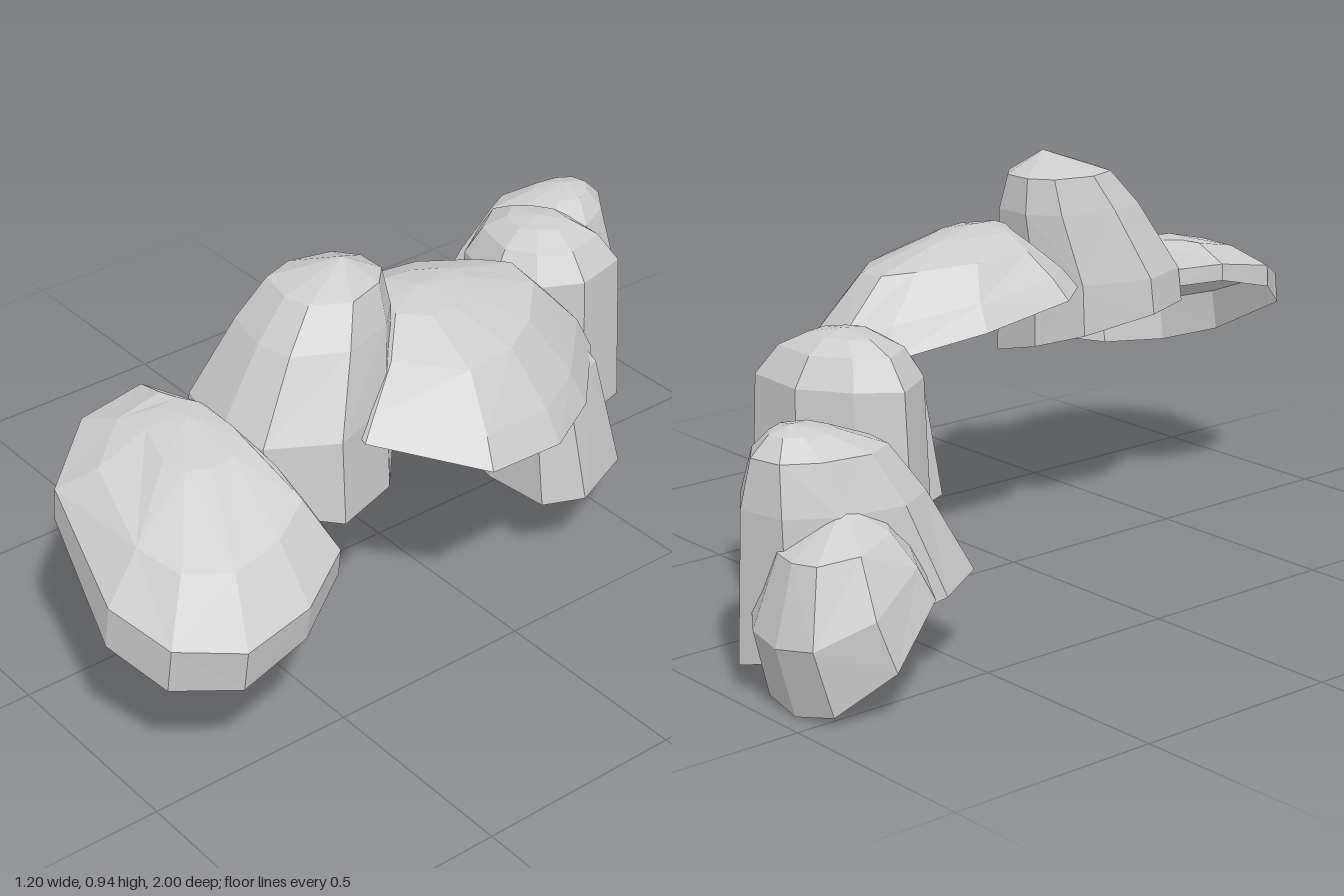
import * as THREE from 'three';

const stone = new THREE.MeshStandardMaterial({ color: 0xcccccc, flatShading: true, side: THREE.DoubleSide });
stone.name = 'grey stone';

// Open-bottomed faceted rock, lofted from its base outline up to an apex.
// outline: [x, z] corners of the base, running from +x towards +z
// rings: [centreX, y, centreZ, scaleX, scaleZ, slopeX, slopeZ], the first is the base
function rock(name, outline, rings, apex) {
  const sides = outline.length;
  const [baseX, , baseZ] = rings[0];
  const positions = [];
  const index = [];
  for (const [cx, y, cz, scaleX, scaleZ, slopeX = 0, slopeZ = 0] of rings) {
    for (const [x, z] of outline) {
      const dx = (x - baseX) * scaleX;
      const dz = (z - baseZ) * scaleZ;
      positions.push(cx + dx, y + slopeX * dx + slopeZ * dz, cz + dz);
    }
  }
  positions.push(...apex);
  const tip = rings.length * sides;
  for (let i = 0; i < rings.length; i++) {
    for (let j = 0; j < sides; j++) {
      const a = i * sides + j;
      const b = i * sides + ((j + 1) % sides);
      if (i === rings.length - 1) index.push(a, tip, b);
      else if ((i + j) % 2) index.push(a, a + sides, b, b, a + sides, b + sides);
      else index.push(a, a + sides, b + sides, a, b + sides, b);
    }
  }
  const indexed = new THREE.BufferGeometry();
  indexed.setAttribute('position', new THREE.Float32BufferAttribute(positions, 3));
  indexed.setIndex(index);
  const geometry = indexed.toNonIndexed();
  geometry.computeVertexNormals();
  const mesh = new THREE.Mesh(geometry, stone);
  mesh.name = name;
  return mesh;
}

export function createModel() {
  const group = new THREE.Group();
  group.name = 'rockArch';

  // Tilted slab at the front end
  group.add(rock('frontSlab',
    [[0.58, 0.82], [0.49, 0.95], [0.34, 1.0], [0.05, 0.93], [-0.06, 0.78],
      [-0.06, 0.62], [0.05, 0.54], [0.36, 0.5], [0.5, 0.51], [0.57, 0.65]],
    [
      [0.27, 0.43, 0.75, 1, 1, -0.42, -0.25],
      [0.28, 0.505, 0.75, 1.02, 0.98, -0.34, -0.17],
      [0.28, 0.59, 0.73, 0.72, 0.7, -0.28, -0.2],
      [0.2, 0.655, 0.67, 0.35, 0.35, -0.15, -0.1],
    ], [0.16, 0.678, 0.65]));

  // Tall peak
  group.add(rock('peakRock',
    [[0.41, 0.42], [0.32, 0.57], [0.2, 0.6], [0.02, 0.56], [-0.03, 0.42],
      [0.02, 0.24], [0.12, 0.17], [0.26, 0.17], [0.35, 0.25]],
    [
      [0.2, 0.48, 0.38, 1, 1, -0.25, 0.12],
      [0.195, 0.63, 0.375, 0.95, 0.98],
      [0.185, 0.8, 0.31, 0.69, 0.77],
      [0.175, 0.885, 0.275, 0.52, 0.56],
    ], [0.185, 0.937, 0.25]));

  // Broad slab bridging the middle
  group.add(rock('middleSlab',
    [[0.57, 0.14], [0.39, 0.35], [0.2, 0.31], [0.0, 0.2], [-0.08, 0.1], [-0.06, -0.13],
      [0.04, -0.34], [0.12, -0.44], [0.26, -0.43], [0.44, -0.25], [0.54, -0.08]],
    [
      [0.25, 0.557, -0.04, 1, 1, -0.17, 0.17],
      [0.245, 0.62, -0.04, 0.87, 0.89, -0.17, 0.13],
      [0.22, 0.715, -0.03, 0.62, 0.62, -0.12, 0.04],
      [0.19, 0.77, 0.02, 0.28, 0.3, -0.06, 0.04],
    ], [0.18, 0.787, 0.03]));

  // Tapered support under the middle slab
  group.add(rock('supportRock',
    [[0.4, -0.3], [0.36, -0.2], [0.2, -0.175], [0.02, -0.2],
      [-0.05, -0.34], [0.03, -0.47], [0.2, -0.51], [0.33, -0.47]],
    [
      [0.175, 0.197, -0.34, 1, 1, -0.05, 0],
      [0.2, 0.48, -0.305, 0.68, 0.76],
      [0.19, 0.56, -0.3, 0.45, 0.45],
    ], [0.18, 0.6, -0.29]));

  // Rounded upright behind it
  group.add(rock('uprightRock',
    [[0.14, -0.53], [0.08, -0.42], [-0.02, -0.36], [-0.19, -0.4],
      [-0.275, -0.52], [-0.2, -0.61], [-0.08, -0.69], [0.1, -0.68]],
    [
      [-0.07, 0.197, -0.53, 1, 1, -0.09, 0],
      [-0.06, 0.565, -0.525, 0.9, 0.95],
      [-0.06, 0.632, -0.525, 0.68, 0.7],
      [-0.06, 0.664, -0.53, 0.38, 0.38],
    ], [-0.05, 0.674, -0.53]));

  // Leaning dome near the back
  group.add(rock('leaningRock',
    [[-0.03, -0.7], [-0.1, -0.51], [-0.28, -0.45], [-0.42, -0.47], [-0.49, -0.6],
      [-0.46, -0.8], [-0.38, -0.93], [-0.24, -0.96], [-0.12, -0.87]],
    [
      [-0.26, 0.115, -0.71, 1, 1, -0.22, 0.22],
      [-0.27, 0.4, -0.765, 0.81, 0.76],
      [-0.28, 0.51, -0.795, 0.56, 0.57],
      [-0.28, 0.552, -0.825, 0.28, 0.28],
    ], [-0.28, 0.567, -0.84]));

  // Low foot rock at the back, opening towards the front
  group.add(rock('backFootRock',
    [[-0.22, -0.8], [-0.26, -0.68], [-0.42, -0.62], [-0.55, -0.68], [-0.6, -0.82],
      [-0.53, -0.93], [-0.43, -0.955], [-0.32, -0.94], [-0.22, -0.88]],
    [
      [-0.41, 0.13, -0.79, 1, 1, -0.01, 0.8],
      [-0.41, 0.24, -0.83, 0.92, 1.02, 0, 0.5],
      [-0.41, 0.35, -0.83, 0.6, 0.72, 0, 0.2],
    ], [-0.41, 0.42, -0.81]));

  return group;
}
